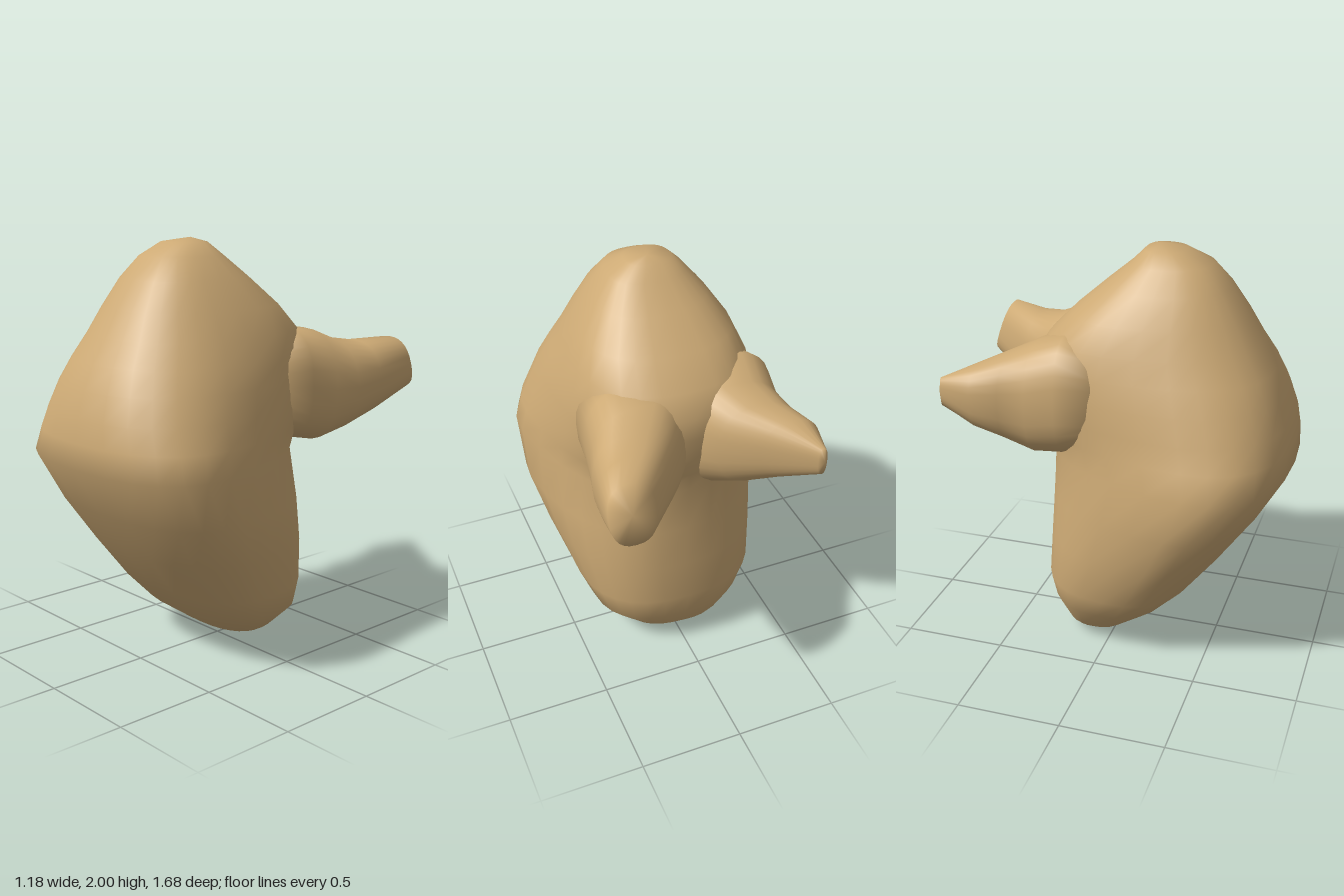
import * as THREE from 'three';

const SEG = 28;
const hide = new THREE.MeshStandardMaterial({ color: 0xcdaa75 });

// Point of a unit superellipse (power n) at step k
function unit(k, n) {
  const t = (k / SEG) * Math.PI * 2, c = Math.cos(t), s = Math.sin(t);
  return [Math.sign(c) * Math.abs(c) ** (2 / n), Math.sign(s) * Math.abs(s) ** (2 / n)];
}

// Skin over a stack of closed rings, with a pole point at each end
function loft(rings, start, end) {
  const pos = [...rings.flat(2), ...start, ...end], index = [];
  const last = rings.length - 1, s = rings.length * SEG, e = s + 1;
  for (let k = 0; k < SEG; k++) {
    const k2 = (k + 1) % SEG;
    for (let r = 0; r < last; r++) {
      const a = r * SEG + k, b = r * SEG + k2;
      index.push(a, a + SEG, b, b, a + SEG, b + SEG);
    }
    index.push(s, k, k2, e, last * SEG + k2, last * SEG + k);
  }
  const g = new THREE.BufferGeometry();
  g.setAttribute('position', new THREE.Float32BufferAttribute(pos, 3));
  g.setIndex(index);
  g.computeVertexNormals();
  return g;
}

// Body ring: height, front z, back z, half width at front and back, x offset
function bodyRing([y, zf, zb, wf, wb, cx]) {
  return Array.from({ length: SEG }, (_, k) => {
    const [c, s] = unit(k, 2.5);
    const w = wb + (wf - wb) * (s + 1) / 2;
    return [cx + c * w, y, (zf + zb) / 2 + s * (zf - zb) / 2];
  });
}

// Horn ring: z, inner and outer x, bottom and top y, slant (how far the bottom reaches back)
function hornRing([z, x0, x1, y0, y1, slant]) {
  const lo = Math.min(x0, x1), hi = Math.max(x0, x1);
  return Array.from({ length: SEG }, (_, k) => {
    const [c, s] = unit(k, 2.5);
    return [(lo + hi) / 2 + c * (hi - lo) / 2, (y0 + y1) / 2 + s * (y1 - y0) / 2, z + s * slant];
  });
}

export function createModel() {
  const group = new THREE.Group();
  const add = (name, geometry) => {
    const m = new THREE.Mesh(geometry, hide);
    m.name = name;
    group.add(m);
  };

  // Body, from the narrow base up to the blunt crown
  const rows = [
    [0.02, -0.04, -0.22, 0.16, 0.13, -0.08],
    [0.07, 0.09, -0.26, 0.28, 0.25, -0.03],
    [0.20, 0.28, -0.33, 0.41, 0.37, 0],
    [0.33, 0.40, -0.35, 0.49, 0.42, -0.01],
    [0.55, 0.57, -0.34, 0.58, 0.44, 0],
    [0.77, 0.72, -0.33, 0.68, 0.43, 0],
    [1.00, 0.85, -0.32, 0.71, 0.40, -0.01],
    [1.12, 0.845, -0.36, 0.65, 0.41, 0],
    [1.23, 0.83, -0.39, 0.58, 0.43, 0],
    [1.35, 0.79, -0.40, 0.52, 0.44, 0],
    [1.46, 0.74, -0.40, 0.45, 0.44, 0],
    [1.57, 0.67, -0.34, 0.38, 0.43, 0],
    [1.69, 0.60, -0.22, 0.31, 0.39, 0],
    [1.82, 0.51, -0.07, 0.24, 0.29, 0],
    [1.92, 0.42, 0.05, 0.16, 0.20, 0],
    [1.98, 0.30, 0.11, 0.10, 0.12, -0.01],
  ];
  add('body', loft(rows.map(bodyRing), [-0.08, 0, -0.17], [0, 2, 0.17]));

  // Left horn: broad, ending in a slanted blunt face
  const left = [
    [-0.02, 0.05, 0.44, 1.10, 1.54, 0],
    [-0.20, 0.02, 0.455, 1.04, 1.58, 0],
    [-0.34, 0.00, 0.48, 1.01, 1.56, 0],
    [-0.46, 0.09, 0.51, 1.06, 1.51, 0.02],
    [-0.60, 0.20, 0.53, 1.13, 1.49, 0.03],
    [-0.79, 0.34, 0.555, 1.24, 1.50, 0.045],
  ];
  add('leftHorn', loft(left.map(hornRing), [0.25, 1.32, 0], [0.45, 1.37, -0.8]));

  // Right horn: shorter, tapering to a narrow upright edge
  const right = [
    [-0.02, -0.05, -0.44, 1.12, 1.57, 0],
    [-0.19, -0.02, -0.48, 1.04, 1.62, 0],
    [-0.34, 0.00, -0.46, 1.02, 1.56, 0],
    [-0.46, -0.09, -0.485, 1.09, 1.51, 0],
    [-0.58, -0.24, -0.53, 1.17, 1.47, 0],
    [-0.74, -0.44, -0.485, 1.27, 1.41, 0],
  ];
  add('rightHorn', loft(right.map(hornRing), [-0.25, 1.34, 0], [-0.47, 1.34, -0.75]));

  return group;
}
